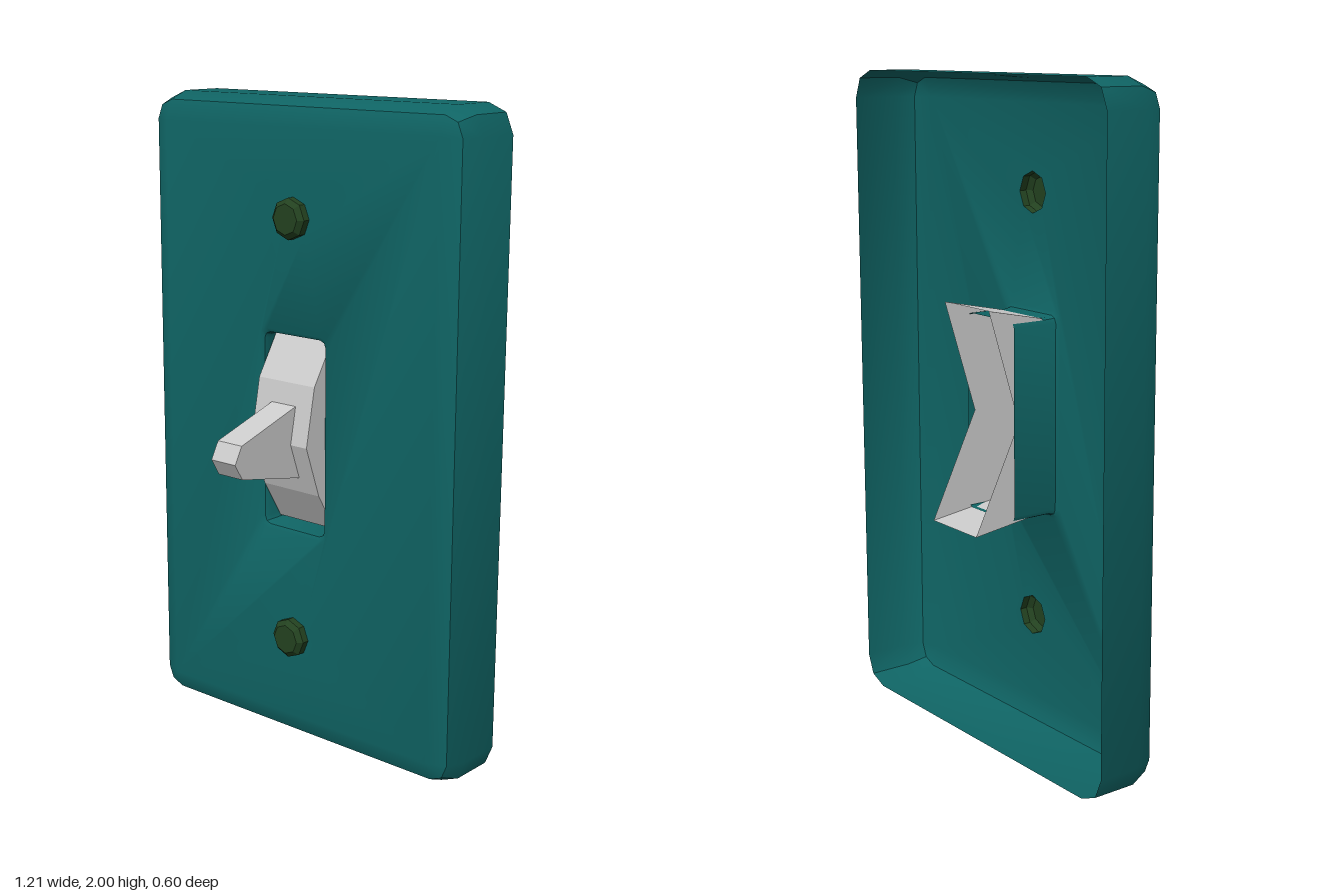
import * as THREE from 'three';
import { mergeGeometries, toCreasedNormals } from 'three/addons/utils/BufferGeometryUtils.js';

const MID_Y = 1;
const FRONT_Z = -0.005;
const SCREW_Y = [0.35, 1.655];
const SCREW_R = 0.062;

// Rounded rectangle outline (counter-clockwise), two segments per corner
function roundedLoop(w, h, r, z) {
  const pts = [];
  [[1, 1], [-1, 1], [-1, -1], [1, -1]].forEach(([sx, sy], q) => {
    for (let k = 0; k <= 2; k++) {
      const a = (q + k / 2) * Math.PI / 2;
      pts.push(new THREE.Vector3(
        sx * (w - r) + r * Math.cos(a),
        MID_Y + sy * (h - r) + r * Math.sin(a), z));
    }
  });
  return pts;
}

// Skin of quads between successive cross-sections
function loft(rings, closed = true) {
  const pos = [];
  const n = rings[0].length;
  for (let i = 0; i < rings.length - 1; i++) {
    for (let j = 0; j < (closed ? n : n - 1); j++) {
      const k = (j + 1) % n;
      const a = rings[i][j], b = rings[i][k], c = rings[i + 1][k], d = rings[i + 1][j];
      for (const p of [a, b, c, a, c, d]) pos.push(p.x, p.y, p.z);
    }
  }
  const g = new THREE.BufferGeometry();
  g.setAttribute('position', new THREE.Float32BufferAttribute(pos, 3));
  return g;
}

function bare(geometry) {
  const g = geometry.index ? geometry.toNonIndexed() : geometry;
  g.deleteAttribute('normal');
  g.deleteAttribute('uv');
  return g;
}

const toPath = (Type, loop) => new Type(loop.map(p => new THREE.Vector2(p.x, p.y)));
const profileShape = pts => new THREE.Shape(pts.map(([z, y]) => new THREE.Vector2(z, y)));

function part(name, geometry, material) {
  const mesh = new THREE.Mesh(geometry, material);
  mesh.name = name;
  return mesh;
}

// Open-backed cover plate with rounded rim and a sleeve round the opening
function plateGeometry() {
  const R = 0.085, W = 0.607, H = 1;
  const rim = [roundedLoop(W, H, R, -0.23)];
  for (let k = 0; k <= 2; k++) {
    const a = k * Math.PI / 4;
    const inset = R * (1 - Math.cos(a));
    rim.push(roundedLoop(W - inset, H - inset, R - inset, FRONT_Z - R * (1 - Math.sin(a))));
  }
  const sleeve = [
    roundedLoop(0.135, 0.315, 0.03, FRONT_Z),
    roundedLoop(0.121, 0.304, 0.022, -0.012),
    roundedLoop(0.115, 0.3, 0.018, -0.03),
    roundedLoop(0.115, 0.3, 0.018, -0.16),
  ];

  const face = new THREE.Shape([
    [W - R, MID_Y + H - R], [R - W, MID_Y + H - R], [R - W, R], [W - R, R],
  ].map(([x, y]) => new THREE.Vector2(x, y)));
  face.holes.push(toPath(THREE.Path, sleeve[0]));
  for (const y of SCREW_Y) {
    const hole = [];
    for (let i = 0; i < 8; i++) {
      const a = i * Math.PI / 4;
      hole.push(new THREE.Vector2(SCREW_R * Math.sin(a), y + SCREW_R * Math.cos(a)));
    }
    face.holes.push(new THREE.Path(hole));
  }
  const front = new THREE.ShapeGeometry(face).translate(0, 0, FRONT_Z);
  return toCreasedNormals(mergeGeometries([loft(rim), bare(front), loft(sleeve)]), 0.6);
}

// Hollow rocker: faceted front strip plus two bow-tie cheeks, open at the back
function rockerGeometry() {
  const half = 0.11;
  const front = [
    [-0.245, 1.34], [-0.055, 1.3], [0.025, 1.17], [0.06, 0.99],
    [0.003, 0.83], [-0.07, 0.71], [-0.295, 0.68],
  ];
  const at = x => front.map(([z, y]) => new THREE.Vector3(x, y, z));
  const cheek = profileShape([...front, [-0.14, 1]]);
  const cheeks = [-half, half].map(x =>
    bare(new THREE.ShapeGeometry(cheek).rotateY(-Math.PI / 2).translate(x, 0, 0)));
  const g = mergeGeometries([loft([at(-half), at(half)], false), ...cheeks]);
  g.computeVertexNormals();
  return g;
}

// Tapered lever standing out of the rocker
function leverGeometry() {
  const width = 0.095;
  const shape = profileShape([
    [0.036, 1.105], [0.06, 0.99], [0.021, 0.88],
    [0.27, 0.928], [0.3, 0.978], [0.272, 1.03],
  ]);
  return new THREE.ExtrudeGeometry(shape, { depth: width, bevelEnabled: false })
    .translate(0, 0, -width / 2)
    .rotateY(-Math.PI / 2);
}

// Bevelled eight-sided screw head
function screwGeometry() {
  const profile = [[SCREW_R, FRONT_Z], [SCREW_R, 0.018], [0.046, 0.032], [0, 0.032]]
    .map(([r, h]) => new THREE.Vector2(r, h));
  return new THREE.LatheGeometry(profile, 8).rotateX(Math.PI / 2);
}

export function createModel() {
  const side = THREE.DoubleSide;
  const plateMat = new THREE.MeshStandardMaterial({ color: 0x0f6464, side });
  const greyMat = new THREE.MeshStandardMaterial({ color: 0xcccccc, side, flatShading: true });
  const screwMat = new THREE.MeshStandardMaterial({ color: 0x234220, side, flatShading: true });

  const model = new THREE.Group();
  model.name = 'lightSwitch';
  model.add(part('coverPlate', plateGeometry(), plateMat));

  const toggle = new THREE.Group();
  toggle.name = 'toggle';
  toggle.add(part('rocker', rockerGeometry(), greyMat));
  toggle.add(part('lever', leverGeometry(), greyMat));
  model.add(toggle);

  const screw = screwGeometry();
  SCREW_Y.forEach((y, i) => {
    const mesh = part(i ? 'upperScrew' : 'lowerScrew', screw, screwMat);
    mesh.position.y = y;
    model.add(mesh);
  });
  return model;
}
